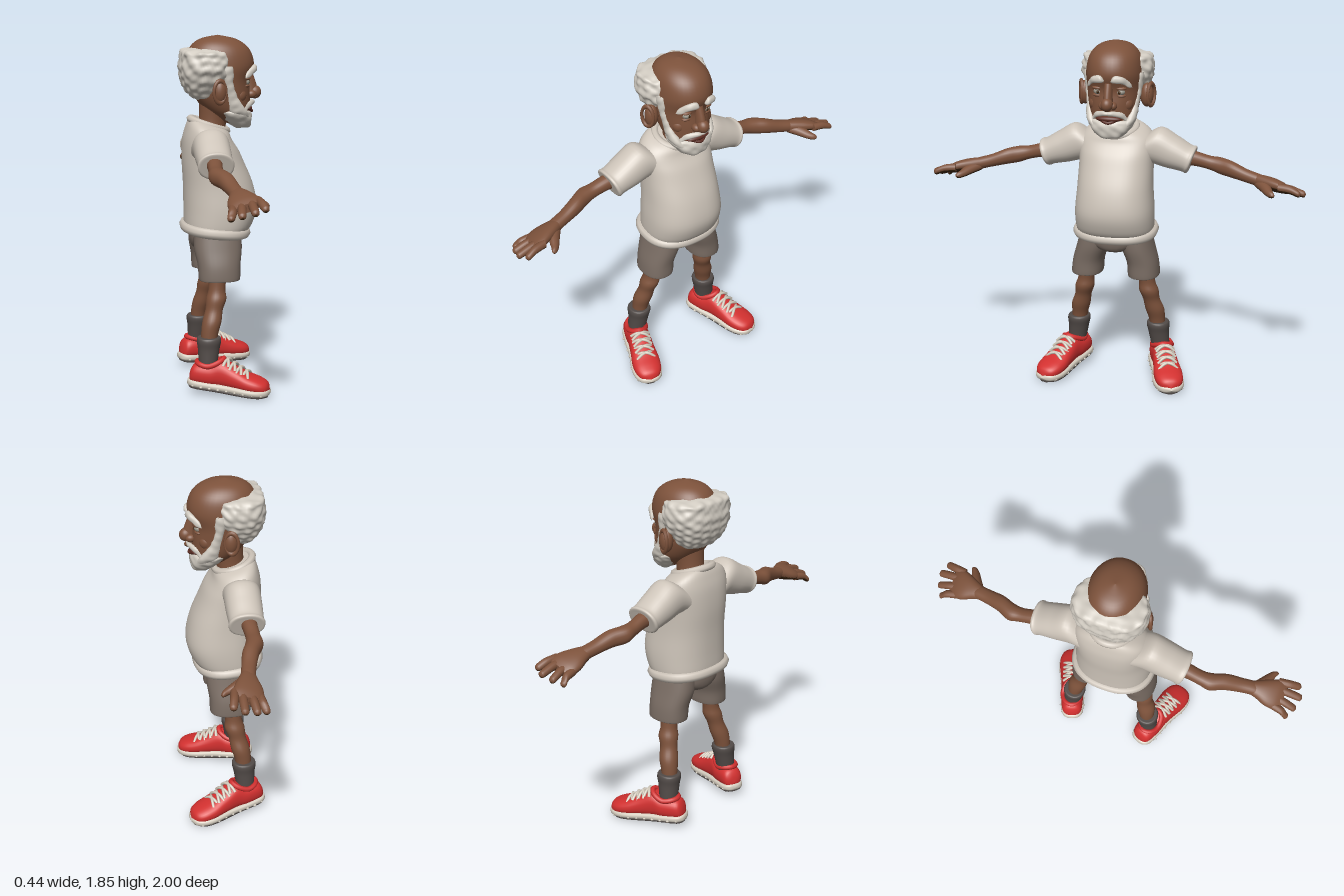
import * as THREE from 'three';

const mat = (name, color) => {
  const m = new THREE.MeshStandardMaterial({ color });
  m.name = name;
  return m;
};
const V = (x, y, z) => new THREE.Vector3(x, y, z);

// Cross-section axes for lofts that run along each direction
const ALONG_X = [V(0, 1, 0), V(0, 0, 1)];
const ALONG_Y = [V(0, 0, 1), V(1, 0, 0)];
const ALONG_Z = [V(1, 0, 0), V(0, 1, 0)];
const SLEEVE = [V(0.33, 0.95, 0), V(0, 0, 1)];
const HAND = [V(0, 0.96, -0.28), V(0, 0.28, 0.96)];

const catmull = (a, b, c, d, t) =>
  0.5 * (2 * b + (c - a) * t + (2 * a - 5 * b + 4 * c - d) * t * t + (3 * b - a - 3 * c + d) * t * t * t);

// Smooth loft through rows [x, y, z, radiusU, radiusV]; p is the superellipse power
function loft(rows, [u, v], p = 2, seg = 28, sub = 5) {
  const n = rows.length, path = [];
  for (let i = 0; i < n - 1; i++) {
    for (let s = 0; s < sub; s++) {
      path.push(rows[i].map((_, k) => catmull(
        rows[Math.max(i - 1, 0)][k], rows[i][k], rows[i + 1][k], rows[Math.min(i + 2, n - 1)][k], s / sub)));
    }
  }
  path.push(rows[n - 1]);
  const pos = [], idx = [];
  const power = (c) => Math.sign(c) * Math.abs(c) ** (2 / p);
  const ring = ([x, y, z, ru, rv]) => {
    for (let j = 0; j < seg; j++) {
      const t = (j / seg) * Math.PI * 2;
      const q = V(x, y, z).addScaledVector(u, Math.max(ru, 0) * power(Math.cos(t)))
        .addScaledVector(v, Math.max(rv, 0) * power(Math.sin(t)));
      pos.push(q.x, q.y, q.z);
    }
  };
  path.forEach(ring);
  for (let i = 0; i < path.length - 1; i++) {
    for (let j = 0; j < seg; j++) {
      const k = (j + 1) % seg, a = i * seg, b = a + seg;
      idx.push(a + j, a + k, b + j, a + k, b + k, b + j);
    }
  }
  // Flat end caps with their own vertices
  for (const [row, end] of [[path[0], false], [path[path.length - 1], true]]) {
    const base = pos.length / 3;
    ring(row);
    pos.push(row[0], row[1], row[2]);
    for (let j = 0; j < seg; j++) {
      const a = base + j, b = base + (j + 1) % seg;
      idx.push(base + seg, end ? a : b, end ? b : a);
    }
  }
  const g = new THREE.BufferGeometry();
  g.setAttribute('position', new THREE.Float32BufferAttribute(pos, 3));
  g.setIndex(idx);
  g.computeVertexNormals();
  return g;
}

const ball = (x, y, z, rx, ry, rz) =>
  new THREE.SphereGeometry(1, 24, 16).scale(rx, ry, rz).translate(x, y, z);

const tube = (pts, r, closed = false, n = 24) =>
  new THREE.TubeGeometry(new THREE.CatmullRomCurve3(pts, closed), n, r, 8, closed);

// Closed rolled edge around an oval, with a forward slope
function band(y, z, rx, rz, slope, r, p = 2) {
  const pts = [];
  for (let i = 0; i < 32; i++) {
    const t = (i / 32) * Math.PI * 2, c = Math.cos(t), s = Math.sin(t);
    const dz = rz * Math.sign(s) * Math.abs(s) ** (2 / p);
    pts.push(V(rx * Math.sign(c) * Math.abs(c) ** (2 / p), y - slope * dz, z + dz));
  }
  return tube(pts, r, true, 64);
}

// Curly surface
function curl(g, amount) {
  const P = g.attributes.position, N = g.attributes.normal;
  for (let i = 0; i < P.count; i++) {
    const x = P.getX(i), y = P.getY(i), z = P.getZ(i);
    const d = amount * (Math.sin(x * 95 + y * 30) * Math.sin(y * 105 + 1) + Math.sin(z * 100 - y * 35) * Math.sin(y * 90));
    P.setXYZ(i, x + N.getX(i) * d, y + N.getY(i) * d, z + N.getZ(i) * d);
  }
  g.computeVertexNormals();
  return g;
}

// Slopes the neckline down towards the chest
function slopeNeckline(g) {
  const P = g.attributes.position;
  for (let i = 0; i < P.count; i++) {
    const t = THREE.MathUtils.smoothstep(P.getY(i), 1.24, 1.39);
    P.setY(i, P.getY(i) - 0.3 * t * (P.getZ(i) + 0.06));
  }
  g.computeVertexNormals();
  return g;
}

// Two face groups: back of the hand and palm side
function palmSide(g) {
  const N = g.attributes.normal, a = g.index.array, top = [], palm = [];
  for (let i = 0; i < a.length; i += 3) {
    const ny = N.getY(a[i]) + N.getY(a[i + 1]) + N.getY(a[i + 2]);
    (ny < -1.2 ? palm : top).push(a[i], a[i + 1], a[i + 2]);
  }
  g.setIndex([...top, ...palm]);
  g.addGroup(0, top.length, 0);
  g.addGroup(top.length, palm.length, 1);
  return g;
}

function mirrored(g) {
  const m = g.clone().applyMatrix4(new THREE.Matrix4().makeScale(-1, 1, 1));
  const a = m.index.array;
  for (let i = 0; i < a.length; i += 3) [a[i], a[i + 1]] = [a[i + 1], a[i]];
  return m;
}

export function createModel() {
  const skin = mat('skin brown', 0x7d523b), lips = mat('lip brown', 0x5e2f25);
  const shirt = mat('shirt off white', 0xcdc4b9), hair = mat('hair white', 0xd2ccc2);
  const shorts = mat('shorts taupe', 0x7a6d64), sock = mat('sock charcoal', 0x524b48);
  const red = mat('shoe red', 0xd2302f), sole = mat('sole cream', 0xd4ccbe);
  const eye = mat('eye grey', 0x9a968a), dark = mat('deep brown', 0x40280f);
  const handTones = [skin, dark];

  // The body is built facing +z, then turned to face +x
  const body = new THREE.Group();
  body.name = 'body';
  const add = (name, g, m) => {
    const mesh = new THREE.Mesh(g, m);
    mesh.name = name;
    body.add(mesh);
  };
  const pair = (name, g, m) => {
    add(name + 'Left', g, m);
    add(name + 'Right', mirrored(g), m);
  };

  // Head and neck
  add('head', loft([[0, 1.4, .07, .06, .06], [0, 1.46, .04, .113, .11], [0, 1.54, .01, .147, .132], [0, 1.62, 0, .152, .14],
    [0, 1.7, 0, .177, .144], [0, 1.78, -.005, .157, .127], [0, 1.83, -.012, .097, .08], [0, 1.852, -.014, 0, 0]], ALONG_Y, 2.1, 40), skin);
  add('neck', loft([[0, 1.28, -.06, .08, .085], [0, 1.4, -.04, .072, .07], [0, 1.52, -.03, .08, .08]], ALONG_Y), skin);
  pair('ear', ball(.163, 1.572, -.024, .034, .062, .036), skin);
  pair('earRim', new THREE.TorusGeometry(.043, .01, 8, 24).scale(.8, 1.3, 1).rotateY(1.2).translate(.184, 1.574, -.026), skin);

  // Face
  add('noseBridge', loft([[0, 1.53, .165, .035, .03], [0, 1.58, .16, .037, .024], [0, 1.66, .148, .022, .02]], ALONG_Y), skin);
  add('noseTip', ball(0, 1.555, .184, .031, .035, .034), skin);
  pair('nostril', ball(.027, 1.545, .162, .02, .021, .026), skin);
  pair('cheek', ball(.07, 1.545, .088, .045, .045, .04), skin);
  pair('eyeball', ball(.057, 1.612, .124, .025, .018, .024), eye);
  pair('pupil', ball(.056, 1.612, .144, .008, .009, .006), dark);
  pair('upperLid', ball(.057, 1.631, .128, .032, .011, .024), skin);
  pair('lowerLid', ball(.057, 1.593, .124, .03, .01, .022), skin);
  pair('eyebrow', curl(loft([[.02, 1.672, .17, .005, .008], [.035, 1.682, .176, .017, .016], [.07, 1.678, .165, .018, .016],
    [.1, 1.655, .138, .016, .015], [.118, 1.635, .116, 0, 0]], ALONG_X, 2, 14), .002), hair);
  add('mouth', ball(0, 1.474, .142, .066, .017, .026), lips);
  add('lowerLip', tube([V(-.058, 1.476, .135), V(0, 1.457, .168), V(.058, 1.476, .135)], .008), lips);

  // White hair, sideburns, beard and moustache
  add('hair', curl(loft([[0, 1.52, -.085, 0, 0], [0, 1.53, -.087, .055, .085], [0, 1.565, -.092, .09, .128], [0, 1.62, -.084, .124, .163],
    [0, 1.68, -.08, .134, .187], [0, 1.74, -.082, .127, .182], [0, 1.775, -.088, .108, .155], [0, 1.798, -.095, 0, 0]], ALONG_Y, 2.5, 80, 9), .0042), hair);
  pair('sideburn', curl(loft([[.062, 1.42, .1, .045, .035], [.092, 1.455, .083, .05, .032], [.106, 1.49, .068, .042, .027], [.118, 1.54, .045, .03, .02],
    [.127, 1.6, .03, .024, .018], [.134, 1.66, .022, .03, .022], [.135, 1.7, .015, .03, .02]], ALONG_Y, 2, 24), .0016), hair);
  add('beard', curl(loft([[0, 1.368, .115, 0, 0], [0, 1.376, .112, .04, .06], [0, 1.41, .092, .075, .098],
    [0, 1.44, .075, .09, .117], [0, 1.46, .06, .096, .122], [0, 1.475, .045, .08, .108]], ALONG_Y, 2.2, 44), .0022), hair);
  pair('moustache', curl(loft([[-.004, 1.506, .168, .01, .012], [.025, 1.506, .166, .013, .014], [.06, 1.496, .143, .014, .014],
    [.085, 1.474, .113, .018, .018], [.1, 1.445, .095, .012, .012]], ALONG_X, 2, 14), .0015), hair);

  // T-shirt
  add('shirtBody', slopeNeckline(loft([[0, .825, -.025, .16, .198], [0, .87, -.012, .18, .207], [0, .96, 0, .192, .208], [0, 1.08, -.012, .182, .199],
    [0, 1.2, -.04, .16, .196], [0, 1.29, -.058, .138, .198], [0, 1.345, -.062, .118, .188], [0, 1.38, -.06, .105, .15],
    [0, 1.4, -.06, .09, .1]], ALONG_Y, 2.35, 48)), shirt);
  add('shirtHem', band(.838, -.028, .2, .158, .1, .028, 2.4), shirt);
  add('collar', band(1.388, -.06, .1, .095, .33, .02), shirt);
  pair('sleeve', loft([[.13, 1.27, -.075, .09, .095], [.2, 1.297, -.075, .1, .094], [.29, 1.264, -.075, .087, .092],
    [.365, 1.235, -.075, .072, .088], [.387, 1.228, -.075, .074, .092], [.397, 1.226, -.075, .068, .086], [.398, 1.226, -.075, .05, .07]], SLEEVE, 2.2, 32), shirt);

  // Arms
  pair('arm', loft([[.33, 1.245, -.08, .045, .045], [.42, 1.23, -.085, .038, .038], [.49, 1.212, -.09, .036, .037],
    [.545, 1.2, -.087, .043, .045], [.61, 1.19, -.06, .042, .042], [.69, 1.167, -.04, .034, .037], [.76, 1.15, -.026, .032, .037],
    [.8, 1.14, -.02, .026, .04]], ALONG_X, 2.2, 24), skin);

  // Hands, rolled so the little finger hangs lowest
  pair('hand', palmSide(loft([[.74, 1.153, -.028, .03, .035], [.78, 1.145, -.022, .035, .05], [.83, 1.135, -.018, .035, .07],
    [.875, 1.125, -.01, .03, .077], [.91, 1.115, -.003, .02, .065]], HAND, 2.2, 28)), handTones);
  [[-.065, -.085, .962, 1.075], [-.025, -.038, .988, 1.09], [.018, .02, 1, 1.105], [.052, .07, .978, 1.118]].forEach(([z0, z1, x, y], i) => {
    const y0 = 1.126 + z0 * .28;
    pair('finger' + (i + 1), palmSide(loft([[.86, y0, z0, .022, .021], [.92, (y + y0) / 2 + .006, (z0 + z1) / 2, .021, .021],
      [x - .016, y + .002, z1, .018, .019], [x - .005, y, z1, .011, .012], [x, y, z1, 0, 0]], HAND, 2, 14, 4)), handTones);
  });
  pair('thumb', palmSide(loft([[.76, 1.14, -.01, .034, .026], [.795, 1.128, .04, .03, .024], [.815, 1.118, .078, .023, .019],
    [.832, 1.112, .103, .016, .014], [.836, 1.11, .113, 0, 0]], ALONG_Z, 2, 16, 4)), handTones);

  // Shorts
  add('shortsSeat', loft([[0, .725, -.03, .05, .035], [0, .74, -.03, .115, .09], [0, .785, -.028, .134, .18], [0, .84, -.028, .13, .185]], ALONG_Y, 2.3, 36), shorts);
  pair('shortsLeg', loft([[.154, .605, -.025, .095, .07], [.154, .592, -.025, .105, .08], [.154, .605, -.025, .109, .084],
    [.147, .67, -.026, .112, .083], [.122, .75, -.028, .125, .086], [.108, .82, -.028, .125, .082]], ALONG_Y, 2.3, 32), shorts);

  // Legs and socks
  pair('leg', loft([[.222, .25, -.09, .04, .038], [.216, .32, -.085, .045, .044], [.206, .38, -.072, .05, .051], [.19, .44, -.058, .046, .045],
    [.178, .495, -.045, .053, .052], [.168, .55, -.04, .044, .044], [.155, .66, -.03, .052, .052]], ALONG_Y, 2, 24), skin);
  pair('sock', loft([[.238, .12, -.096, .046, .046], [.234, .17, -.096, .05, .05], [.226, .24, -.092, .057, .056], [.223, .28, -.09, .064, .062],
    [.222, .3, -.09, .06, .058], [.222, .302, -.09, .045, .045]], ALONG_Y, 2.1, 24), sock);

  // Trainers, modelled straight then turned outward
  const shoe = (name, g, m) => pair(name, g.rotateX(.09).rotateY(.35).translate(.28, .025, .005), m);
  shoe('shoeUpper', loft([[0, .05, -.214, 0, 0], [0, .06, -.206, .036, .035], [0, .07, -.18, .057, .056], [0, .076, -.1, .065, .063],
    [0, .088, -.045, .063, .075], [0, .075, .03, .069, .06], [0, .061, .1, .077, .047], [0, .053, .16, .071, .039],
    [0, .046, .2, .046, .028], [0, .04, .216, 0, 0]], ALONG_Z, 2.3, 32), red);
  shoe('shoeCollar', tube([V(.052, .128, -.11), V(.032, .155, -.055), V(0, .168, -.04), V(-.032, .155, -.055), V(-.052, .128, -.11),
    V(-.037, .13, -.16), V(0, .132, -.18), V(.037, .13, -.16)], .014, true, 40), red);
  shoe('shoeSole', loft([[0, .024, -.222, 0, 0], [0, .024, -.214, .038, .017], [0, .024, -.18, .063, .021], [0, .024, -.1, .069, .021],
    [0, .024, 0, .07, .021], [0, .024, .1, .083, .021], [0, .024, .165, .076, .021], [0, .026, .208, .048, .018],
    [0, .027, .223, 0, 0]], ALONG_Z, 3, 28), sole);
  for (let i = 0; i < 9; i++) {
    const z = -.18 + i * .045;
    const w = i === 0 ? .058 : i === 8 ? .064 : .068 + .013 * Math.max(0, 1 - Math.abs(z - .1) / .08);
    shoe('soleTread' + (i + 1), ball(0, .015, z, w + .007, .016, .019), sole);
  }
  // Dark rubber outsole
  shoe('outsole', loft([[0, .006, -.21, .02, .008], [0, .004, -.18, .052, .009], [0, .004, -.05, .058, .009], [0, .004, .1, .072, .009],
    [0, .004, .17, .06, .009], [0, .006, .208, .02, .008]], ALONG_Z, 5, 24), sock);

  // Crossed laces
  const laceTop = (z) => .158 - .46 * z;
  for (let i = 0; i < 4; i++) {
    for (const s of [-1, 1]) {
      const z = -.018 + i * .035, y = laceTop(z);
      shoe(`lace${i + 1}${s < 0 ? 'Over' : 'Under'}`, tube([V(-.05, y - .026, z - s * .015), V(-.025, y - .004, z - s * .008),
        V(0, y + .002, z), V(.025, y - .004, z + s * .008), V(.05, y - .026, z + s * .015)], .008, false, 12), sole);
    }
  }

  body.rotation.y = Math.PI / 2;
  const root = new THREE.Group();
  root.name = 'standingElder';
  root.add(body);
  // Stand on the ground, centred
  const box = new THREE.Box3().setFromObject(root, true), c = box.getCenter(V(0, 0, 0));
  body.position.set(-c.x, -box.min.y, -c.z);
  return root;
}
